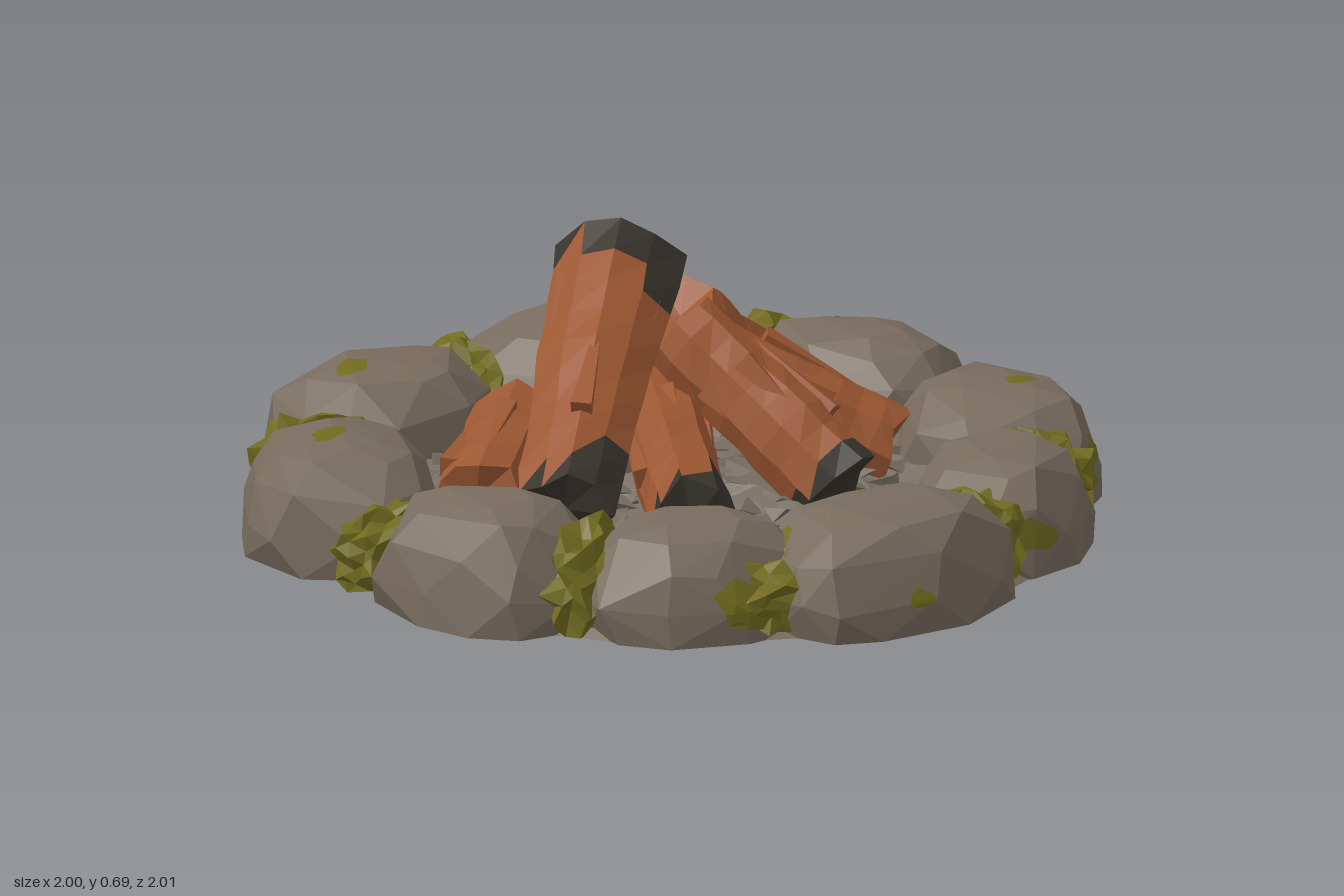
import * as THREE from 'three';
import { mergeGeometries } from 'three/addons/utils/BufferGeometryUtils.js';
import { ConvexGeometry } from 'three/addons/geometries/ConvexGeometry.js';

const mat = (name, color, side = THREE.FrontSide) => {
  const m = new THREE.MeshStandardMaterial({ color, flatShading: true, side });
  m.name = name;
  return m;
};

// Repeatable noise in -1..1 from a position, so shared corners move together
const hash = (x, y, z, k = 0) => {
  const s = Math.sin(Math.round(x * 1e3) * 12.9898 + Math.round(y * 1e3) * 78.233 + Math.round(z * 1e3) * 37.719 + k * 4.137) * 43758.5453;
  return (s - Math.floor(s)) * 2 - 1;
};

function reshape(geo, rule) {
  const g = geo.index ? geo.toNonIndexed() : geo;
  const p = g.attributes.position;
  const v = new THREE.Vector3();
  for (let i = 0; i < p.count; i++) {
    v.fromBufferAttribute(p, i);
    rule(v);
    p.setXYZ(i, v.x, v.y, v.z);
  }
  g.computeVertexNormals();
  return g;
}

// Boulder: hull of jittered rings on a squarish ellipse, flat underneath
function boulderGeometry(x, z, a, b, h, turn, seed) {
  const rings = [[0, 0.96, 10], [0.3, 1.0, 10], [0.66, 0.9, 8], [0.9, 0.68, 7], [1, 0.4, 5]];
  const pts = [];
  rings.forEach(([ly, lr, n], j) => {
    for (let i = 0; i < n; i++) {
      const t = ((i + j * 0.4 + 0.3 * hash(i, j, seed)) / n) * Math.PI * 2;
      const c = Math.cos(t), s = Math.sin(t);
      const r = (lr * (1 + 0.05 * hash(i, j, seed, 1))) / Math.pow(Math.abs(c) ** 2.5 + Math.abs(s) ** 2.5, 0.4);
      const y = j ? h * Math.min(1, ly + 0.05 * hash(i, j, seed, 2)) : 0;
      pts.push(new THREE.Vector3(a * r * c, y, b * r * s));
    }
  });
  return new ConvexGeometry(pts).rotateY(turn).translate(x, 0, z);
}

// Thin moss patch laid on a boulder by casting rays onto it
function patchGeometry(target, origin, dir, size, seed) {
  const u = new THREE.Vector3(dir.z, 0, -dir.x);
  if (u.length() < 0.1) u.set(1, 0, 0);
  u.normalize();
  const w = new THREE.Vector3().crossVectors(dir, u);
  const ray = new THREE.Raycaster();
  const cast = (r, t) => {
    const o = origin.clone().addScaledVector(u, r * Math.cos(t)).addScaledVector(w, r * 0.65 * Math.sin(t));
    ray.set(o, dir);
    const hit = ray.intersectObject(target)[0];
    return hit && hit.point.addScaledVector(dir, -0.006);
  };
  const out = [], n = 9, step = (Math.PI * 2) / n;
  const at = (j, i) => cast(j * size * 0.5 * (1 + (j > 1 ? 0.35 * hash(i % n, j, seed) : 0)), i * step);
  for (let i = 0; i < n; i++) {
    const [c, a0, a1, b0, b1] = [at(0, 0), at(1, i), at(1, i + 1), at(2, i), at(2, i + 1)];
    for (const tri of [[c, a0, a1], [a0, b0, b1], [a0, b1, a1]])
      if (tri.every(Boolean)) tri.forEach((p) => out.push(p.x, p.y, p.z));
  }
  const g = new THREE.BufferGeometry();
  g.setAttribute('position', new THREE.Float32BufferAttribute(out, 3));
  g.computeVertexNormals();
  return g;
}

// Split log: ridged tapering prism, burnt mostly in front and underneath
function makeLog(low, high, r0, r1, burnLow, burnHigh, seed, wood, char) {
  const a = new THREE.Vector3(...low), b = new THREE.Vector3(...high);
  const len = a.distanceTo(b);
  const log = new THREE.Group();
  log.name = 'log';
  log.position.copy(a).add(b).multiplyScalar(0.5);
  log.quaternion.setFromUnitVectors(new THREE.Vector3(0, 1, 0), b.clone().sub(a).normalize());

  const geo = reshape(new THREE.CylinderGeometry(1, 1, 1, 9, 9), (v) => {
    const ang = Math.round((Math.atan2(v.z, v.x) / (Math.PI * 2)) * 9 + 9) % 9;
    const rim = Math.hypot(v.x, v.z) > 0.5 ? 1 : 0;
    const ridge = 1 + rim * (0.15 * hash(ang, seed, 3) + 0.06 * hash(ang, v.y, seed));
    const r = (r0 + (r1 - r0) * (v.y + 0.5)) * ridge;
    const end = rim && Math.abs(v.y) > 0.49 ? 0.025 * hash(ang, v.y, seed, 5) : 0;
    v.set(v.x * r, v.y * len + end, v.z * r);
  });
  // Choose wood or char for each triangle
  const p = geo.attributes.position;
  const out = new THREE.Vector3(), fireSide = new THREE.Vector3(0.3, -0.65, 0.5);
  geo.clearGroups();
  for (let i = 0; i < p.count; i += 3) {
    const mean = (f) => (p[f](i) + p[f](i + 1) + p[f](i + 2)) / 3;
    const y = mean('getY') / len + 0.5;
    out.set(mean('getX'), 0, mean('getZ')).normalize().applyQuaternion(log.quaternion);
    const reach = Math.max(0.35, 1 + out.dot(fireSide) + 0.2 * hash(i, seed, 7));
    const burnt = (burnLow && y < burnLow * reach) || (burnHigh && y > 1 - burnHigh * reach);
    geo.addGroup(i, 3, burnt ? 1 : 0);
  }
  const body = new THREE.Mesh(geo, [wood, char]);
  body.name = 'logBody';

  // Low bark ridges along the sides
  const ridges = [];
  for (let i = 0; i < 5; i++) {
    const t = i * 1.26 + seed, r = (r0 + r1) * 0.43;
    ridges.push(new THREE.ConeGeometry(0.035, len * (0.5 + 0.1 * hash(i, seed, 8)), 4)
      .rotateX(i % 2 ? 0 : Math.PI)
      .translate(Math.cos(t) * r, len * 0.08 * hash(i, seed, 9), Math.sin(t) * r));
  }
  const bark = new THREE.Mesh(mergeGeometries(ridges), wood);
  bark.name = 'barkRidges';
  log.add(body, bark);
  return log;
}

export function createModel() {
  const root = new THREE.Group();
  root.name = 'campfire';
  const stone = mat('stone', 0x786b5e), gravel = mat('gravel', 0x7a7065, THREE.DoubleSide);
  const moss = mat('moss', 0x706a1e, THREE.DoubleSide);
  const wood = mat('wood', 0x9c5732), char = mat('char', 0x38332c);
  const add = (name, geo, m, parent = root) => {
    const mesh = new THREE.Mesh(geo, m);
    mesh.name = name;
    parent.add(mesh);
    return mesh;
  };

  // Ring of boulders: x, z, half length, half depth, height, turn
  const boulders = [
    [-0.31, -0.76, 0.28, 0.24, 0.29, 0.1], [0.31, -0.73, 0.375, 0.22, 0.3, -0.25],
    [0.73, -0.31, 0.285, 0.23, 0.28, -1.3], [0.745, 0.2, 0.275, 0.235, 0.27, 1.25],
    [0.48, 0.57, 0.265, 0.215, 0.26, 0.65], [-0.02, 0.775, 0.345, 0.225, 0.27, 0],
    [-0.43, 0.59, 0.275, 0.21, 0.26, -0.35], [-0.755, 0.22, 0.285, 0.21, 0.28, -1.35],
    [-0.735, -0.37, 0.285, 0.235, 0.28, 1.1],
  ].map((b, i) => add('boulder', boulderGeometry(...b, i + 1), stone));

  // Ground slab, closed underneath
  add('groundSlab', new THREE.CylinderGeometry(0.86, 0.9, 0.03, 22).translate(0, 0.015, 0), stone);

  // Rough gravel bed with loose shards
  const bed = reshape(new THREE.RingGeometry(0.01, 0.7, 26, 9).rotateX(-Math.PI / 2), (v) => {
    const { x, z } = v;
    v.set(x + 0.025 * hash(x, 0, z), 0.09 + 0.025 * hash(x, 1, z), z + 0.025 * hash(x, 2, z));
  });
  add('gravelBed', bed, gravel);
  const shards = [];
  for (let i = 0; i < 150; i++) {
    const r = 0.63 * Math.sqrt((i + 0.5) / 150), t = i * 2.4;
    shards.push(new THREE.TetrahedronGeometry(0.055 + 0.015 * hash(i, 1, 1))
      .rotateX(hash(i, 2, 1) * 3).rotateY(t * 3).scale(1.2, 0.45, 0.9)
      .translate(r * Math.cos(t), 0.1, r * Math.sin(t)));
  }
  add('gravelShards', mergeGeometries(shards), gravel);

  // Moss clumps filling the gaps, wider outward: x, z, half width, half depth, height
  [
    [-0.01, -0.84, 0.075, 0.13, 0.26], [-0.59, -0.64, 0.095, 0.16, 0.23],
    [-0.82, -0.06, 0.085, 0.15, 0.2], [-0.62, 0.44, 0.085, 0.17, 0.25],
    [-0.34, 0.72, 0.1, 0.12, 0.2], [0.29, 0.69, 0.085, 0.14, 0.22],
    [0.69, 0.43, 0.1, 0.14, 0.22], [0.86, -0.06, 0.09, 0.11, 0.2],
    [0.62, -0.575, 0.11, 0.15, 0.25],
  ].forEach(([x, z, w, d, h], k) => {
    const geo = reshape(new THREE.IcosahedronGeometry(1, 3), (v) => {
      const s = 1 + 0.2 * hash(v.x, v.y, v.z, k);
      v.set(
        v.x * w * s * (1 + 0.3 * v.z) + 0.015 * hash(v.x, v.z, v.y, k),
        Math.max(0.002, h * (0.42 + 0.55 * v.y * s)),
        v.z * d * s,
      );
    });
    add('mossClump', geo.rotateY(Math.atan2(x, z)).translate(x, 0, z), moss);
  });

  // Moss patches on boulders: boulder, ray origin, ray direction, size
  const down = [0, -1, 0], back = [0, 0, -1], left = [-1, 0, 0];
  [
    [0, [-0.42, 1, -0.74], down, 0.05], [8, [-0.77, 1, -0.37], down, 0.05],
    [3, [0.79, 1, 0.24], down, 0.05], [8, [-0.55, 1, -0.53], down, 0.05],
    [6, [-0.43, 0.08, 2], back, 0.09], [5, [-0.07, 0.09, 2], back, 0.035],
    [4, [0.41, 0.1, 2], back, 0.06], [3, [2, 0.13, 0.42], left, 0.05],
    [2, [2, 0.23, -0.47], left, 0.03], [5, [-0.28, 1, 0.7], down, 0.05],
  ].forEach(([i, o, d, size], k) =>
    add('mossPatch', patchGeometry(boulders[i], new THREE.Vector3(...o), new THREE.Vector3(...d), size, k), moss));

  // Stacked logs: low end, high end, radii, burnt share of each end
  const logs = [
    [[-0.49, 0.18, 0.17], [0.03, 0.575, -0.31], 0.105, 0.14, 0.17, 0.13],
    [[-0.23, 0.13, 0.32], [0.06, 0.26, -0.22], 0.105, 0.105, 0.18, 0.1],
    [[0.23, 0.14, 0.31], [0.06, 0.46, -0.1], 0.115, 0.105, 0.11, 0],
    [[0.5, 0.14, 0.12], [0.13, 0.39, -0.15], 0.1, 0.09, 0, 0],
    [[0.48, 0.15, -0.33], [0.19, 0.41, -0.28], 0.095, 0.1, 0, 0],
    [[-0.52, 0.14, -0.13], [-0.2, 0.2, -0.42], 0.1, 0.095, 0, 0],
  ].map((l, i) => makeLog(...l, i + 1, wood, char));
  root.add(...logs);

  // Unburnt heart on the end of the tallest log
  add('logHeart', new THREE.CylinderGeometry(0.04, 0.05, 0.009, 7).translate(0.01, 0.412, -0.01), wood, logs[0]);
  return root;
}
